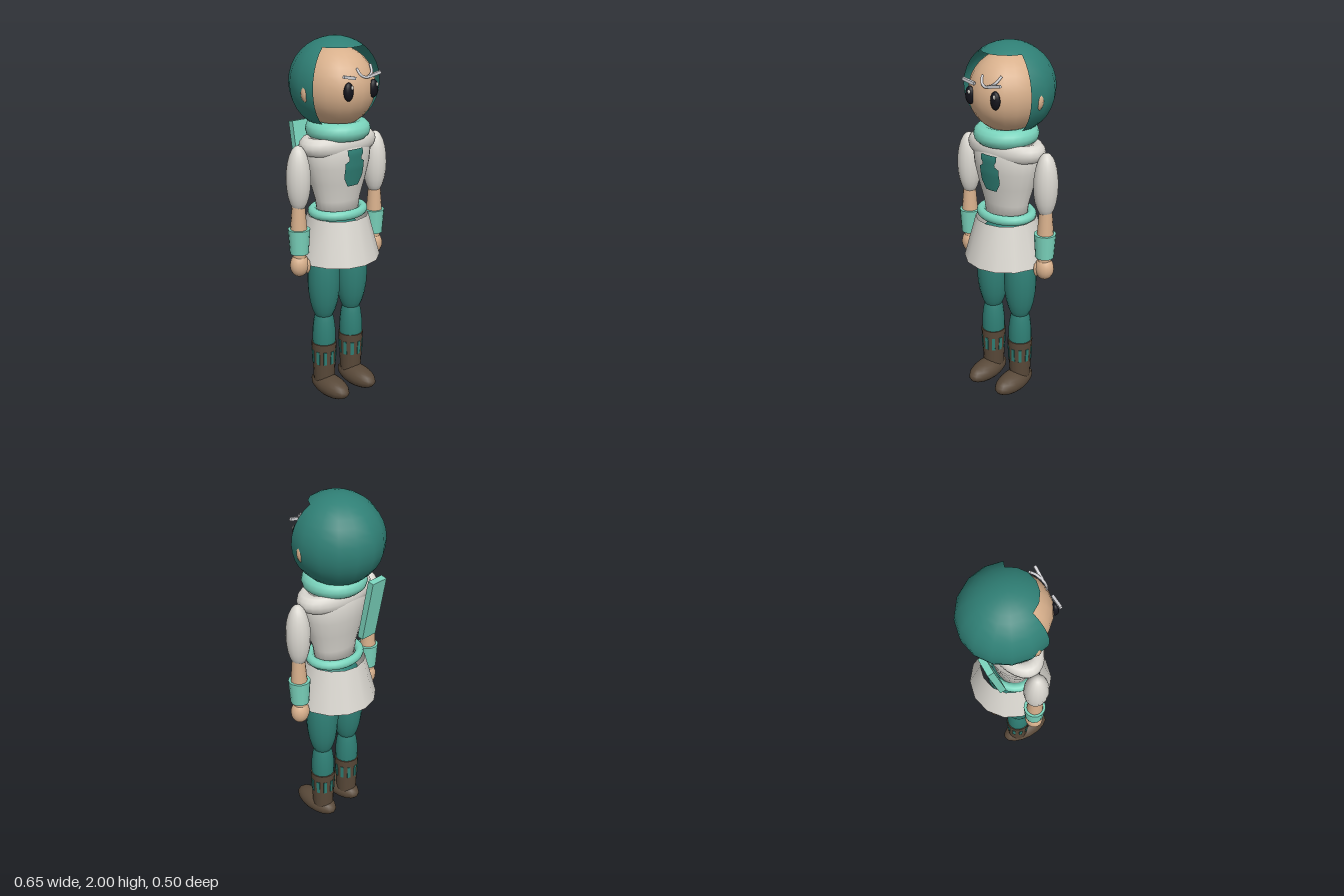
import * as THREE from 'three';

export function createModel() {
  const model = new THREE.Group();
  model.name = 'figure';
  const paint = (name, color, side = THREE.FrontSide) => {
    const m = new THREE.MeshStandardMaterial({ color, side });
    m.name = name;
    return m;
  };
  const teal = paint('teal', 0x2f7f75, THREE.DoubleSide);
  const mint = paint('mint', 0x7ad3bc);
  const white = paint('off white', 0xdad7d0, THREE.DoubleSide);
  const skin = paint('skin', 0xd8b08c);
  const brown = paint('boot brown', 0x594939);
  const black = paint('eye black', 0x14141c);
  const silver = paint('brow silver', 0xd2d2d6, THREE.DoubleSide);

  const Z = 0.02; // body axis
  function add(name, geo, mat, x = 0, y = 0, z = 0) {
    const mesh = new THREE.Mesh(geo, mat);
    mesh.name = name;
    mesh.position.set(x, y, z);
    model.add(mesh);
    return mesh;
  }
  const ball = (rx, ry, rz, w = 16, h = 12) => new THREE.SphereGeometry(1, w, h).scale(rx, ry, rz);
  const ring = (rx, rz, tube) => {
    const big = Math.max(rx, rz) - tube;
    return new THREE.TorusGeometry(big, tube, 12, 28).rotateX(Math.PI / 2)
      .scale(rx / (big + tube), 1, rz / (big + tube));
  };
  const tapered = (top, bottom, h, open = false, n = 14) =>
    new THREE.CylinderGeometry(top, bottom, h, n, 1, open);

  // Head and ears
  add('head', ball(0.2, 0.21, 0.22, 20, 16), skin, 0, 1.745, 0);
  // Hair: a shell open at the face, with a cap that forms the fringe
  const capAngle = 0.62, step = Math.PI / 8;
  add('hairShell', new THREE.SphereGeometry(1, 10, 12, step * 7, step * 10, capAngle, 2.9 - capAngle)
    .scale(0.24, 0.24, 0.252), teal, 0, 1.76, 0);
  add('hairCap', new THREE.SphereGeometry(1, 16, 4, 0, Math.PI * 2, 0, capAngle)
    .scale(0.24, 0.24, 0.252), teal, 0, 1.76, 0);

  // Torso: rounded profile flattened front to back
  const profile = [[0, 1.04], [0.12, 1.05], [0.135, 1.15], [0.165, 1.25], [0.188, 1.34],
    [0.196, 1.42], [0.17, 1.49], [0.1, 1.53], [0, 1.54]];
  const depth = 0.72;
  add('torso', new THREE.LatheGeometry(profile.map(p => new THREE.Vector2(...p)), 24)
    .scale(1, 1, depth), white, 0, 0, Z);
  const radiusAt = y => {
    const i = profile.findIndex(p => p[1] > y);
    const [a, b] = [profile[i - 1], profile[i]];
    return a[0] + (b[0] - a[0]) * (y - a[1]) / (b[1] - a[1]);
  };

  // Chest patch: a thin sheet that follows the torso
  const patch = new THREE.PlaneGeometry(1, 1, 8, 14);
  const pos = patch.attributes.position;
  for (let i = 0; i < pos.count; i++) {
    const v = pos.getY(i) + 0.5, y = 1.24 + v * 0.2;
    let w = 0.062;
    if (v < 0.25) w = 0.035 + 0.108 * v;
    if (v > 0.7) w = 0.04;
    if (v > 0.8) w = 0.05;
    const x = pos.getX(i) * 2 * w, r = radiusAt(y);
    pos.setXYZ(i, x, y, Z + depth * Math.sqrt(r * r - x * x) + 0.009);
  }
  patch.computeVertexNormals();
  add('chestPatch', patch, teal);

  // Cowl, scarf, scarf tail and belt
  add('cowl', ring(0.238, 0.135, 0.048), white, 0, 1.452, Z);
  add('scarf', ring(0.172, 0.172, 0.049), mint, 0, 1.526, Z);
  add('scarfTail', new THREE.BoxGeometry(0.1, 0.355, 0.035), mint, -0.108, 1.375, -0.146)
    .rotation.x = -0.19;
  add('belt', ring(0.172, 0.143, 0.026), mint, 0, 1.08, Z);

  // Skirt and hips
  add('skirt', tapered(0.165, 0.23, 0.24, true), white, 0, 0.94, Z);
  add('hips', ball(0.15, 0.11, 0.12), teal, 0, 0.93, Z);

  for (const s of [-1, 1]) {
    const side = s > 0 ? 'left' : 'right';
    const part = (name, geo, mat, x, y, z = Z) => add(side + name, geo, mat, s * x, y, z);

    // Face
    part('Ear', ball(0.03, 0.05, 0.026, 10, 8), skin, 0.211, 1.735, 0.03);
    part('Eye', ball(0.028, 0.047, 0.02), black, 0.082, 1.75, 0.203);
    add(side + 'EyeGlint', ball(0.008, 0.011, 0.004, 10, 8), white, s * 0.082 + 0.009, 1.772, 0.221);
    part('Brow', new THREE.BoxGeometry(0.076, 0.015, 0.014), silver, 0.083, 1.822, 0.21)
      .rotation.z = s * 0.2;

    // Arm
    part('Sleeve', ball(0.065, 0.178, 0.066), white, 0.262, 1.295);
    part('Forearm', tapered(0.034, 0.047, 0.17), skin, 0.264, 1.07);
    part('Cuff', tapered(0.059, 0.05, 0.135), mint, 0.262, 0.957);
    part('Wrist', tapered(0.035, 0.035, 0.08), skin, 0.262, 0.87);
    part('Hand', ball(0.053, 0.065, 0.048), skin, 0.262, 0.822);
    part('Thumb', ball(0.02, 0.042, 0.022, 10, 8), skin, 0.232, 0.815, 0.045);

    // Leg and boot
    part('Thigh', ball(0.09, 0.26, 0.09), teal, 0.098, 0.7);
    part('Shin', ball(0.066, 0.22, 0.066), teal, 0.098, 0.345);
    part('BootShaft', tapered(0.071, 0.057, 0.28), brown, 0.098, 0.18);
    part('Foot', ball(0.07, 0.06, 0.148), brown, 0.098, 0.06, 0.074);
    // Slits round the boot
    for (let i = 0; i < 10; i++) {
      const a = (i + 0.1) * Math.PI / 5;
      const slit = add(side + 'BootSlit', new THREE.BoxGeometry(0.019, 0.08, 0.006)
        .rotateX(0.05), teal, s * 0.098 + Math.sin(a) * 0.0655, 0.235, Z + Math.cos(a) * 0.0655);
      slit.rotation.y = a;
    }
  }

  // Bent ribbon on the forehead
  const path = new THREE.CatmullRomCurve3([
    [-0.015, 1.858, 0.185], [-0.004, 1.826, 0.203], [0.03, 1.812, 0.214],
    [0.075, 1.832, 0.195], [0.092, 1.865, 0.165],
  ].map(p => new THREE.Vector3(...p)));
  add('foreheadRibbon', new THREE.TubeGeometry(path, 16, 0.007, 6), silver);

  return model;
}
